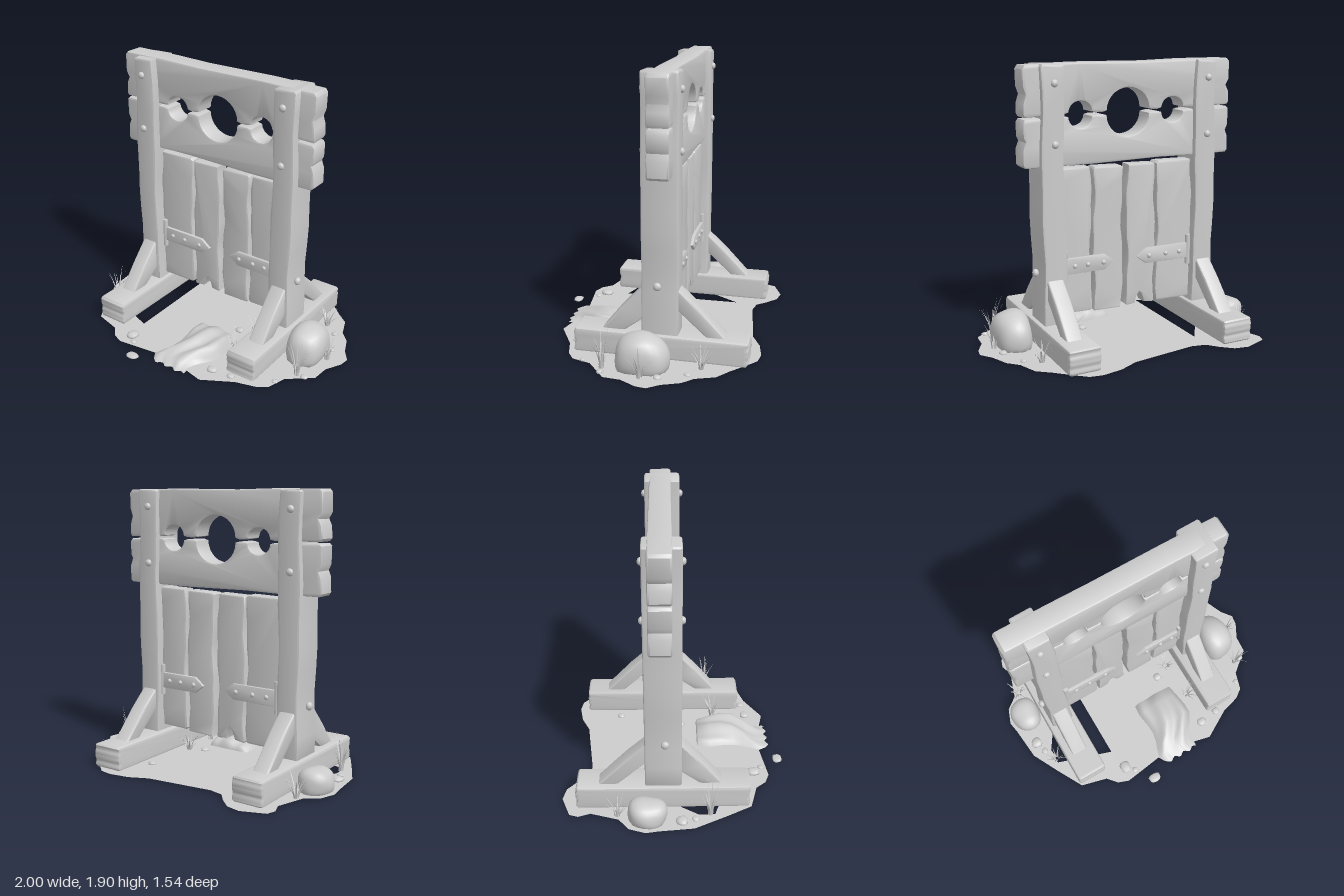
import * as THREE from 'three';
import { mergeVertices, mergeGeometries, toCreasedNormals } from 'three/addons/utils/BufferGeometryUtils.js';

const stone = new THREE.MeshStandardMaterial({ color: 0xcccccc });
stone.name = 'plain grey';
const sheet = new THREE.MeshStandardMaterial({ color: 0xcccccc, side: THREE.DoubleSide });
sheet.name = 'plain grey thin';

let seed = 7;
const rand = () => (seed = (seed * 16807) % 2147483647) / 2147483647;

export function createModel() {
  const group = new THREE.Group();

  function add(name, geo, x = 0, y = 0, z = 0, mat = stone) {
    const mesh = new THREE.Mesh(geo, mat);
    mesh.name = name;
    mesh.position.set(x, y, z);
    group.add(mesh);
    return mesh;
  }

  // Bevelled slab from an outline, centred on its depth
  function slab(points, depth, bevel = 0.015) {
    const shape = new THREE.Shape(points.map(p => new THREE.Vector2(p[0], p[1])));
    const geo = new THREE.ExtrudeGeometry(shape, {
      depth: depth - 2 * bevel, bevelThickness: bevel, bevelSize: bevel,
      bevelOffset: -bevel, bevelSegments: 2, curveSegments: 6,
    });
    geo.translate(0, 0, bevel - depth / 2);
    return toCreasedNormals(geo, 0.7);
  }

  // Worn rectangle outline with softly waving long sides
  function worn(x0, x1, y0, y1, amp, phase, bottom = []) {
    const n = 12, pts = [[x0 + 0.015, y0], ...bottom, [x1 - 0.015, y0 + 0.005]];
    const wave = (t, p) => amp * (Math.sin(t * 9 + p) * 0.6 + Math.sin(t * 21 + p * 2) * 0.4 - 0.5);
    for (let i = 0; i <= n; i++) {
      const t = i / n;
      pts.push([x1 + wave(t, phase), y0 + 0.015 + (y1 - y0 - 0.03) * t]);
    }
    pts.push([x1 - 0.015, y1], [x0 + 0.015, y1 - 0.005]);
    for (let i = n; i >= 0; i--) {
      const t = i / n;
      pts.push([x0 - wave(t, phase + 2), y0 + 0.015 + (y1 - y0 - 0.03) * t]);
    }
    return pts;
  }

  function bolt(x, y, z, axis, r = 0.025) {
    const m = add('bolt', new THREE.SphereGeometry(r, 10, 8), x, y, z);
    m.scale[axis] = 0.8;
  }

  // Posts, feet and braces on both sides
  [[-0.645, -1, 'right'], [0.502, 1, 'left']].forEach(([x, s, side], k) => {
    add(side + 'Post', slab(worn(x - 0.085, x + 0.085, 0.15, 1.89, 0.01, k * 2 + 1), 0.245), 0, 0, -0.0925);
    const foot = slab(worn(-0.68, 0.488, 0, 0.172, 0.006, k), 0.225, 0.02);
    add(side + 'Foot', foot.rotateY(-Math.PI / 2), x + (k ? -0.002 : 0.002));
    const braces = {
      FrontBrace: [[0.01, 0.27], [0.17, 0.15], [0.315, 0.15], [0.17, 0.33], [0.01, 0.5]],
      BackBrace: [[-0.19, 0.5], [-0.34, 0.365], [-0.54, 0.15], [-0.41, 0.15], [-0.19, 0.35]],
    };
    for (const [name, pts] of Object.entries(braces))
      add(side + name, slab(pts, 0.115).rotateY(-Math.PI / 2), x);
    for (const y of [1.77, 1.38]) for (const z of [0.033, -0.218]) bolt(x - 0.01, y, z, 'z');
    bolt(x + s * 0.088, 0.505, -0.08, 'x', 0.028);
  });

  // Head board and lower board, with the neck hole and wrist holes between them
  const holes = [[-0.395, 0.083, 0.085], [-0.055, 0.157, 0.16], [0.295, 0.081, 0.087]];
  const holeEdge = (y, dir) => holes.flatMap(([cx, rx, ry]) => {
    const arc = [[cx - rx - 0.03, y]];
    for (let i = 0; i <= 14; i++) {
      const a = Math.PI * (1 - i / 14);
      arc.push([cx + rx * Math.cos(a), y + dir * (0.008 + (ry - 0.014) * Math.sin(a))]);
    }
    return [...arc, [cx + rx + 0.03, y]];
  });
  const upper = [
    [-0.84, 1.572], ...holeEdge(1.567, 1), [0.68, 1.557], [0.692, 1.58], [0.688, 1.65], [0.672, 1.7],
    [0.69, 1.75], [0.693, 1.86], [0.675, 1.885], [0.3, 1.893], [-0.2, 1.888], [-0.5, 1.896],
    [-0.835, 1.895], [-0.853, 1.875], [-0.853, 1.75], [-0.83, 1.71], [-0.85, 1.67], [-0.855, 1.59],
  ];
  const lower = [
    [-0.84, 1.56], ...holeEdge(1.553, -1), [0.68, 1.543], [0.694, 1.52], [0.692, 1.43], [0.678, 1.4],
    [0.697, 1.35], [0.697, 1.25], [0.68, 1.232], [0.2, 1.228], [-0.3, 1.236], [-0.6, 1.23],
    [-0.84, 1.232], [-0.855, 1.25], [-0.852, 1.35], [-0.835, 1.39], [-0.853, 1.43], [-0.855, 1.545],
  ].reverse();
  add('upperBoard', slab(upper, 0.15, 0.014), 0, 0, -0.105);
  add('lowerBoard', slab(lower, 0.148, 0.014), 0, 0, -0.105);

  // Door planks
  const notch = [[-0.2, 0.2], [-0.175, 0.265], [-0.16, 0.28], [-0.14, 0.25], [-0.125, 0.2]];
  [[-0.575, -0.288, 1.205], [-0.283, -0.052, 1.2], [-0.028, 0.2, 1.203], [0.208, 0.435, 1.212]].forEach(([a, b, top], i) =>
    add('plank', slab(worn(a, b, 0.19 + (i === 3 ? 0.015 : 0), top, 0.012, i * 1.7, i === 1 ? notch : []), 0.11), 0, 0, -0.105));

  // Pointed hinge straps with pins, front and back
  for (const z of [-0.045, -0.165]) {
    const out = z > -0.1 ? 1 : -1;
    for (const [x, tip, y, s] of [[-0.535, -0.13, 0.545, 1], [0.405, 0.05, 0.545, -1]]) {
      const pts = [[x, y - 0.055], [tip - s * 0.07, y - 0.055], [tip, y], [tip - s * 0.07, y + 0.055], [x, y + 0.055]];
      add('hingeStrap', slab(s > 0 ? pts : pts.reverse(), 0.03, 0.005), 0, 0, z);
      add('hingePin', new THREE.CylinderGeometry(0.018, 0.018, 0.215, 10), x - s * 0.008, y + 0.005, z + out * 0.004);
      for (const t of [0.17, 0.44, 0.77]) bolt(x + (tip - x) * t, y, z + out * 0.015, 'z', 0.017);
    }
  }

  // Ground patch with a gap beside one foot
  const rim = [
    -.82, -.72, -.66, -.78, -.56, -.76, -.48, -.69, -.42, -.62, -.32, -.6, .14, -.66, .27, -.72, .41, -.745, .5, -.73,
    .57, -.67, .68, -.57, .77, -.5, .82, -.37, .89, -.3, .94, -.18, 1, -.1, .99, -.03, .93, .08, .92, .2, .76, .33,
    .72, .46, .65, .51, .51, .55, .3, .67, .17, .64, -.13, .61, -.42, .65, -.5, .62, -.56, .55, -.75, .5, -.85, .32,
    -.96, .11, -.985, -.13, -1, -.21, -.96, -.32, -.87, -.39, -.81, -.58, -.84, -.66];
  const toPoints = a => a.flatMap((v, i) => (i % 2 ? [] : [new THREE.Vector2(v, -a[i + 1])]));
  const ground = new THREE.Shape(toPoints(rim));
  ground.holes.push(new THREE.Path(toPoints([-.43, -.465, -.825, .14, -.825, .25, -.425, .385])));
  add('ground', new THREE.ShapeGeometry(ground).rotateX(-Math.PI / 2), 0, 0.005, 0, sheet);

  // Lumpy stones, flattened at the ground
  function rock(name, x, z, rx, h, rz, detail, phase, lump = 0.1) {
    let geo = new THREE.IcosahedronGeometry(1, detail);
    geo.deleteAttribute('normal');
    geo.deleteAttribute('uv');
    geo = mergeVertices(geo);
    const p = geo.attributes.position;
    for (let i = 0; i < p.count; i++) {
      const [a, b, c] = [p.getX(i), p.getY(i), p.getZ(i)];
      const f = 1 + lump * (Math.sin(a * 3 + phase) + Math.sin(c * 4 + b * 2 + phase * 2)) * 0.5;
      const box = f / Math.pow(a ** 4 + b ** 4 + c ** 4, 0.12);
      p.setXYZ(i, a * box * rx, Math.max(0, (b * box * 0.65 + 0.35) * h), c * box * rz);
    }
    geo.computeVertexNormals();
    add(name, geo, x, 0, z);
  }
  rock('rightRock', -0.865, -0.2, 0.11, 0.15, 0.13, 4, 1);
  rock('leftRock', 0.75, -0.01, 0.125, 0.235, 0.175, 4, 3);
  [[-.895, .03, .04], [-.87, .12, .025], [-.39, .545, .042], [-.335, .6, .022], [.31, .535, .034], [.45, .515, .026],
    [.195, .04, .03], [.31, -.42, .028], [.78, -.32, .022], [.855, -.14, .026], [.855, .235, .024], [.72, .39, .02]]
    .forEach(([x, z, r], i) => rock('pebble', x, z, r, r * 0.8, r, 1, i, 0.15));
  rock('pebble', -0.235, 0.73, 0.05, 0.018, 0.03, 1, 2, 0.15);

  // Low rumpled slab in front: rows give z, left x, right x, height
  const rows = [[.155, -.07, .23, 0], [.165, -.085, .24, .07], [.25, -.09, .255, .095], [.34, -.075, .27, .11],
    [.42, -.07, .27, .105], [.49, -.085, .23, .085], [.55, -.11, .19, .06], [.61, -.13, .17, .035], [.66, -.1, .175, .012], [.675, -.08, .17, 0]];
  const cols = 16, pos = [], idx = [];
  rows.forEach(([z, l, r, h], j) => {
    for (let i = 0; i <= cols; i++) {
      const u = i / cols, side = 1 - Math.pow(Math.abs(2 * u - 1), 6);
      const ripple = 0.85 + 0.15 * Math.sin(u * 13 + j * 0.8) - 0.25 * (1 - u) * (1 - u);
      pos.push(l + (r - l) * u, Math.max(0.002, h * side * ripple), z + (j > 5 ? 0.012 * Math.sin(u * 19) : 0));
      if (i < cols && j < rows.length - 1) {
        const a = j * (cols + 1) + i, b = a + cols + 1;
        idx.push(a, b, a + 1, b, b + 1, a + 1);
      }
    }
  });
  const mound = new THREE.BufferGeometry();
  mound.setAttribute('position', new THREE.Float32BufferAttribute(pos, 3));
  mound.setIndex(idx);
  mound.computeVertexNormals();
  add('frontSlab', mound, 0, 0, 0, sheet);

  // Grass tufts of tapered, bent blades
  function blade(h, lean, angle) {
    const geo = new THREE.PlaneGeometry(0.014, h, 1, 4).translate(0, h / 2, 0);
    const p = geo.attributes.position;
    for (let i = 0; i < p.count; i++) {
      const t = p.getY(i) / h;
      p.setX(i, p.getX(i) * (1 - t * 0.95));
      p.setZ(i, lean * t * t + 0.015);
    }
    geo.computeVertexNormals();
    return geo.rotateY(angle);
  }
  for (const [x, z, h] of [[-.83, -.4, .16], [-.82, .22, .27], [.3, -.01, .13], [.32, .28, .19], [.68, -.39, .16], [.88, -.03, .24], [.8, .24, .27]]) {
    const blades = [];
    for (let i = 0; i < 13; i++)
      blades.push(blade(h * (0.5 + 0.5 * rand()), 0.03 + 0.06 * rand(), i * 2.4 + rand()));
    add('grassTuft', mergeGeometries(blades), x, 0, z, sheet);
  }

  return group;
}
